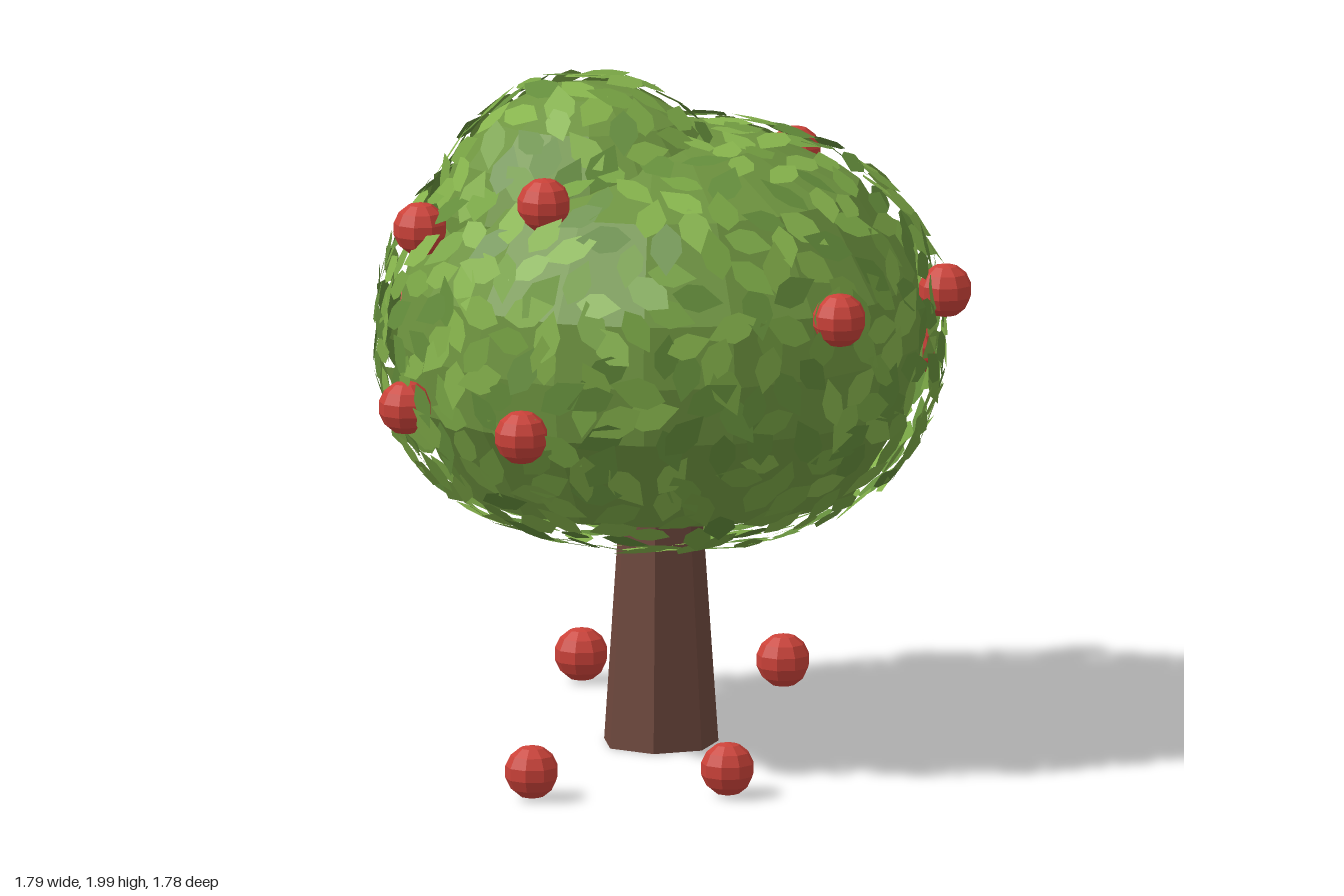
import * as THREE from 'three';
import { mergeGeometries } from 'three/addons/utils/BufferGeometryUtils.js';

const mat = (name, color, extra = {}) => {
  const m = new THREE.MeshStandardMaterial({ color, flatShading: true, ...extra });
  m.name = name;
  return m;
};

// Small seeded generator, 0..1
function seeded(seed) {
  return () => {
    seed = (seed * 1664525 + 1013904223) % 4294967296;
    return seed / 4294967296;
  };
}

export function createModel() {
  const tree = new THREE.Group();
  tree.name = 'appleTree';
  const bark = mat('bark', 0x6d473c);
  const foliage = mat('foliage', 0x6f9540);
  const red = mat('appleRed', 0xcb4239);
  const orange = mat('appleOrange', 0xd2683a);
  const greens = [0x86b34c, 0x78a444, 0x648d3b].map((c, i) =>
    mat(['leafLight', 'leafMid', 'leafDark'][i], c, { side: THREE.DoubleSide }));

  const add = (name, geometry, material, x = 0, y = 0, z = 0) => {
    const mesh = new THREE.Mesh(geometry, material);
    mesh.name = name;
    mesh.position.set(x, y, z);
    tree.add(mesh);
    return mesh;
  };

  // Seven-sided tapering trunk
  const trunk = add('trunk', new THREE.CylinderGeometry(0.105, 0.17, 0.95, 7), bark, 0.005, 0.475, -0.015);
  trunk.rotation.y = THREE.MathUtils.degToRad(-14);

  // Solid crown with a flat underside, and the smaller lump on top
  const profile = [[0, 0.755], [0.57, 0.755], [0.74, 1.03], [0.765, 1.2], [0.745, 1.38],
    [0.58, 1.65], [0.32, 1.78], [0, 1.81]].map(p => new THREE.Vector2(...p));
  add('crown', new THREE.LatheGeometry(profile, 18), foliage, 0.01, 0, -0.01);
  add('crownTop', new THREE.SphereGeometry(0.435, 16, 9), foliage, -0.12, 1.52, 0.16);

  // Shells on which the leaves lie: rounded ellipsoids
  const main = { c: new THREE.Vector3(0.01, 1.215, -0.01), rx: 0.82, ry: 0.61, n: 2.4, count: 640 };
  const lump = { c: new THREE.Vector3(-0.12, 1.52, 0.16), rx: 0.45, ry: 0.455, n: 2, count: 230 };
  const level = (s, p) =>
    (Math.hypot(p.x - s.c.x, p.z - s.c.z) / s.rx) ** s.n + (Math.abs(p.y - s.c.y) / s.ry) ** s.n;

  // One pointed leaf, its tip along +y
  const outline = [[0, -0.5], [0.24, -0.24], [0.27, 0.06], [0, 0.5], [-0.27, 0.06], [-0.24, -0.24]];
  const leaf = new THREE.ShapeGeometry(new THREE.Shape(outline.map(p => new THREE.Vector2(...p))));
  const batches = greens.map(() => []);
  const rnd = seeded(7);
  const jitter = a => (rnd() - 0.5) * 2 * a;
  const forward = new THREE.Vector3(0, 0, 1);

  for (const [shell, other] of [[main, lump], [lump, main]]) {
    for (let i = 0; i < shell.count; i++) {
      const v = 1 - 2 * (i + 0.5) / shell.count + jitter(0.02);
      const y = THREE.MathUtils.clamp(v, -1, 1);
      const a = i * 2.39996 + jitter(0.07);
      const h = Math.sqrt(1 - y * y);
      const k = (h ** shell.n + Math.abs(y) ** shell.n) ** (-1 / shell.n);
      const p = new THREE.Vector3(Math.cos(a) * h * k * shell.rx, y * k * shell.ry, Math.sin(a) * h * k * shell.rx)
        .add(shell.c);
      const side = (h * k) ** (shell.n - 1) / shell.rx;
      const normal = new THREE.Vector3(Math.cos(a) * side,
        Math.sign(y) * Math.abs(y * k) ** (shell.n - 1) / shell.ry, Math.sin(a) * side).normalize();
      const spin = rnd() * Math.PI * 2, tiltX = jitter(0.16), tiltY = jitter(0.16);
      const size = 0.135 + rnd() * 0.04, pick = Math.floor(rnd() * 3);
      if (level(other, p) < 0.97) continue;
      const q = new THREE.Quaternion().setFromUnitVectors(forward, normal)
        .multiply(new THREE.Quaternion().setFromEuler(new THREE.Euler(tiltX, tiltY, spin)));
      batches[pick].push(leaf.clone().applyMatrix4(
        new THREE.Matrix4().compose(p, q, new THREE.Vector3(size, size, size))));
    }
  }
  batches.forEach((b, i) => add(['lightLeaves', 'midLeaves', 'darkLeaves'][i], mergeGeometries(b), greens[i]));

  // Apples in the crown and fallen on the ground
  const apple = new THREE.SphereGeometry(0.079, 9, 7);
  const hanging = [
    [0.105, 1.69, 0.575], [-0.345, 1.56, 0.62], [0.82, 1.38, 0.09], [-0.825, 1.17, 0.15],
    [-0.29, 1.06, 0.74], [0.205, 1.05, 0.775], [-0.1, 1.62, -0.69], [0.69, 1.36, -0.49],
    [0.29, 1.08, -0.79], [-0.6, 1.08, -0.56],
  ];
  const ripening = [[-0.51, 1.62, -0.49], [-0.15, 1.04, -0.82]];
  const fallen = [[0.28, 0.08, 0.81], [0.66, 0.08, 0.39], [-0.74, 0.08, -0.47], [-0.26, 0.08, -0.81]];
  hanging.forEach(p => add('hangingApple', apple, red, ...p));
  ripening.forEach(p => add('ripeningApple', apple, orange, ...p));
  fallen.forEach(p => add('fallenApple', apple, red, ...p));

  return tree;
}
